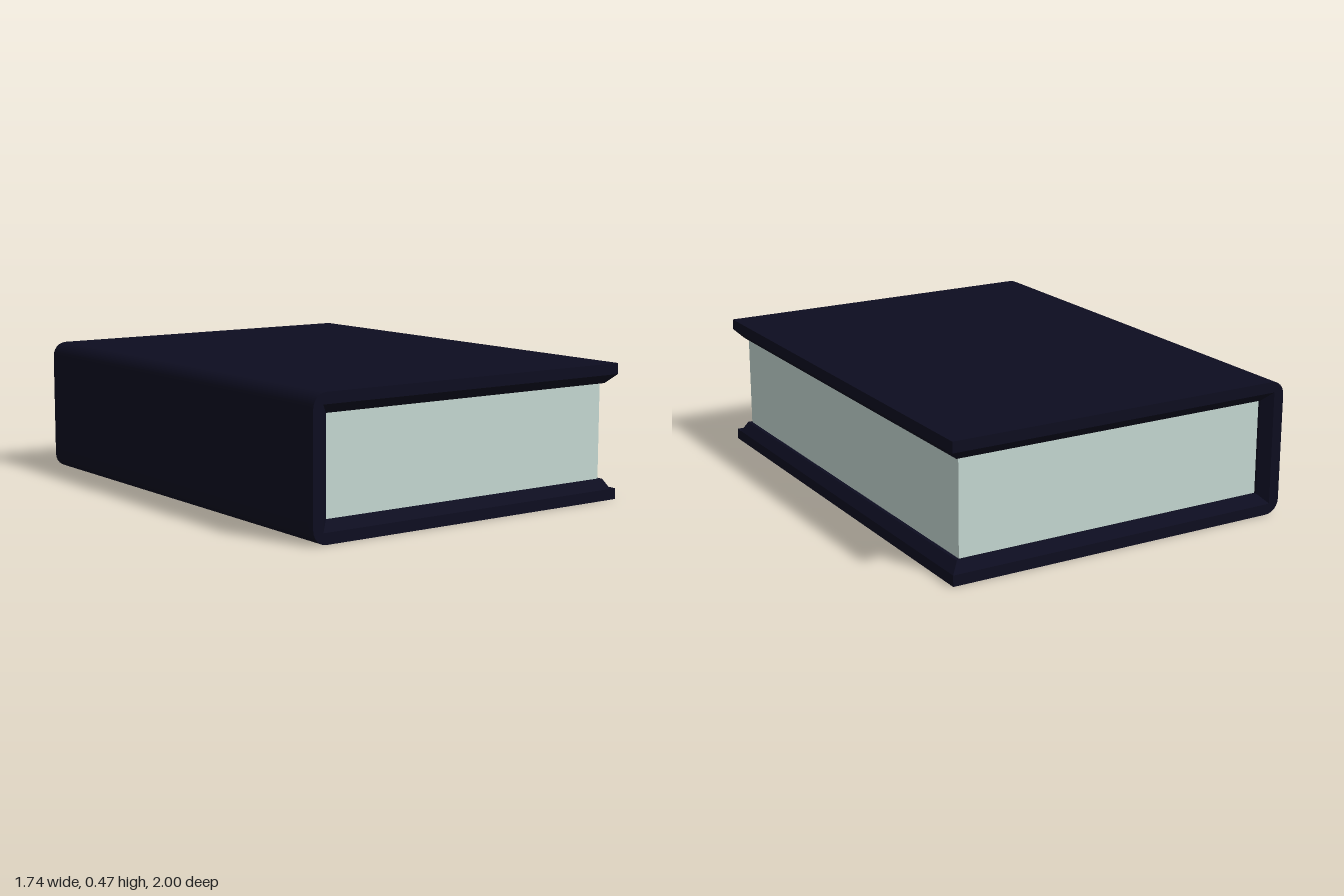
import * as THREE from 'three';
import { toCreasedNormals } from 'three/addons/utils/BufferGeometryUtils.js';

const HALF_W = 0.637, HALF_L = 0.842, HEIGHT = 0.472;
const THICK = 0.07, BEVEL = 0.032, RADIUS = 0.05;

// U-shaped cross-section of the case, counter-clockwise; t is the board thickness
function caseProfile(t) {
  const pts = [];
  const spineCorner = (cy, start) => {
    for (let i = 0; i <= 6; i++) {
      const a = start + (i / 6) * Math.PI / 2;
      pts.push(new THREE.Vector2(-HALF_W + RADIUS + RADIUS * Math.cos(a), cy + RADIUS * Math.sin(a)));
    }
  };
  const add = (x, y) => pts.push(new THREE.Vector2(x, y));
  const edge = THICK - BEVEL;
  // top board, fore edge and its bevel
  add(HALF_W - BEVEL, HEIGHT - t);
  add(HALF_W, HEIGHT - edge);
  add(HALF_W, HEIGHT);
  // rounded spine
  spineCorner(HEIGHT - RADIUS, Math.PI / 2);
  spineCorner(RADIUS, Math.PI);
  // bottom board, fore edge and its bevel
  add(HALF_W, 0);
  add(HALF_W, edge);
  add(HALF_W - BEVEL, t);
  // inside of the spine
  add(-HALF_W + t, t);
  add(-HALF_W + t, HEIGHT - t);
  return pts;
}

// Joins the cross-sections, which thin out at both ends to bevel the inner edges
function caseGeometry() {
  const sections = [
    [-HALF_L, THICK - BEVEL], [-HALF_L + BEVEL, THICK],
    [HALF_L - BEVEL, THICK], [HALF_L, THICK - BEVEL],
  ];
  const positions = [], index = [];
  const endProfile = caseProfile(THICK - BEVEL);
  const n = endProfile.length;
  for (const [z, t] of sections) {
    for (const p of caseProfile(t)) positions.push(p.x, p.y, z);
  }
  for (let s = 0; s < sections.length - 1; s++) {
    for (let i = 0; i < n; i++) {
      const a = s * n + i, b = s * n + (i + 1) % n;
      index.push(a, b, b + n, a, b + n, a + n);
    }
  }
  const last = (sections.length - 1) * n;
  for (const [a, b, c] of THREE.ShapeUtils.triangulateShape(endProfile, [])) {
    index.push(a, c, b, last + a, last + b, last + c);
  }
  const geometry = new THREE.BufferGeometry();
  geometry.setAttribute('position', new THREE.Float32BufferAttribute(positions, 3));
  geometry.setIndex(index);
  return toCreasedNormals(geometry, 0.5);
}

export function createModel() {
  const coverMaterial = new THREE.MeshStandardMaterial({ color: 0x0d0d20 });
  coverMaterial.name = 'navy cover';
  const paperMaterial = new THREE.MeshStandardMaterial({ color: 0xc5d8d2 });
  paperMaterial.name = 'pale paper';

  const book = new THREE.Group();
  book.name = 'book';

  const cover = new THREE.Mesh(caseGeometry(), coverMaterial);
  cover.name = 'cover';

  // page block, set back from the three open edges
  const left = -HALF_W + THICK - 0.01, right = 0.593;
  const pages = new THREE.Mesh(
    new THREE.BoxGeometry(right - left, HEIGHT - 2 * THICK + 0.004, 1.6), paperMaterial);
  pages.name = 'pages';
  pages.position.set((left + right) / 2, HEIGHT / 2, 0);

  book.add(cover, pages);
  book.rotation.y = 0.3195; // lies at an angle

  const model = new THREE.Group();
  model.name = 'closedBook';
  model.add(book);
  return model;
}
